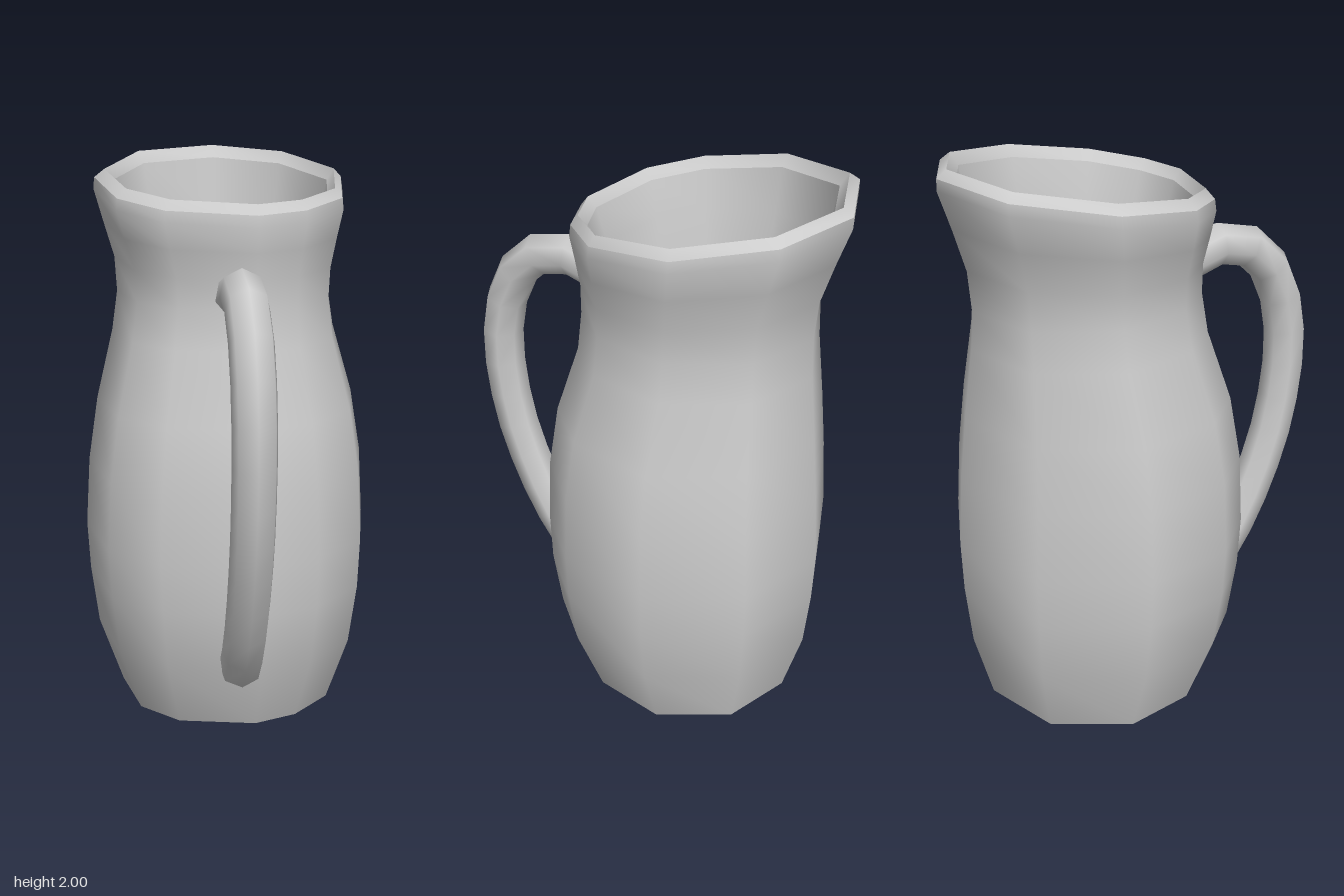
import * as THREE from 'three';
import { toCreasedNormals } from 'three/addons/utils/BufferGeometryUtils.js';

const material = new THREE.MeshStandardMaterial({ color: 0xcccccc, side: THREE.DoubleSide });

// Corner directions of the uneven ten-sided section, in degrees from +z towards +x
const CORNERS = [9, 37, 76, 117, 155, 198, 241, 279, 306, 346].map(THREE.MathUtils.degToRad);

// One ring of corners fitted to its extents; tilt makes the mouth rise towards the back
function ring([y, x0, x1, z0, z1, tilt = 0]) {
  const rx = (x1 - x0) / 1.958, rz = (z1 - z0) / 1.939;
  const cx = x1 - 0.97 * rx, cz = z1 - 0.988 * rz;
  return CORNERS.map((a) => {
    const dx = rx * Math.sin(a), dz = rz * Math.cos(a);
    return new THREE.Vector3(cx + dx, y + tilt * (0.05 * dx - 0.135 * dz), cz + dz);
  });
}

// Skin a stack of rings with quads
function skin(rings, crease) {
  const n = CORNERS.length, index = [];
  for (let i = 0; i < rings.length - 1; i++) {
    for (let j = 0; j < n; j++) {
      const a = i * n + j, b = i * n + (j + 1) % n;
      index.push(a, b, a + n, b, b + n, a + n);
    }
  }
  const geometry = new THREE.BufferGeometry().setFromPoints(rings.flat());
  geometry.setIndex(index);
  return toCreasedNormals(geometry, crease);
}

export function createModel() {
  const group = new THREE.Group();
  const add = (name, geometry) => {
    const mesh = new THREE.Mesh(geometry, material);
    mesh.name = name;
    group.add(mesh);
  };

  // Outer wall, open underneath: y, x min, x max, z min, z max, tilt
  const outer = [
    [0, -0.39, 0.41, -0.54, 0.24],
    [0.25, -0.48, 0.48, -0.61, 0.34],
    [0.47, -0.51, 0.51, -0.63, 0.37],
    [0.65, -0.52, 0.52, -0.635, 0.375],
    [0.9, -0.505, 0.505, -0.62, 0.365],
    [1.13, -0.465, 0.47, -0.6, 0.33],
    [1.38, -0.39, 0.41, -0.575, 0.25],
    [1.52, -0.365, 0.39, -0.57, 0.235],
    [1.64, -0.37, 0.4, -0.58, 0.235, 0.3],
    [1.76, -0.4, 0.43, -0.625, 0.25, 0.7],
    [1.87, -0.425, 0.46, -0.67, 0.265, 1],
    [1.91, -0.42, 0.455, -0.67, 0.26, 1],
  ];
  // Lip and tapering inner wall
  const lip = [
    outer[outer.length - 1],
    [1.94, -0.385, 0.425, -0.635, 0.235, 1],
    [1.9, -0.36, 0.4, -0.605, 0.205, 1],
  ];
  const inner = [
    lip[2],
    [1.75, -0.33, 0.37, -0.575, 0.17, 0.6],
    [1.3, -0.27, 0.32, -0.51, 0.1],
    [0.6, -0.2, 0.26, -0.445, 0.025],
  ];
  add('body', skin(outer.map(ring), 1));
  add('lip', skin(lip.map(ring), 0.8));
  add('innerWall', skin(inner.map(ring), 1));

  // Inner floor
  const floorShape = new THREE.Shape(ring(inner[3]).map((p) => new THREE.Vector2(p.x, -p.z)));
  add('innerFloor', new THREE.ShapeGeometry(floorShape).rotateX(-Math.PI / 2).translate(0, 0.6, 0));

  // Handle: z and y of its centre line, in an upright plane slanting to the right
  const path = [
    [0.19, 1.57], [0.28, 1.605], [0.385, 1.6], [0.49, 1.53], [0.565, 1.39], [0.598, 1.19],
    [0.57, 0.895], [0.5, 0.655], [0.41, 0.455], [0.33, 0.33], [0.26, 0.25],
  ].map(([z, y]) => new THREE.Vector3(-0.14 - (z - 0.2) * 0.39, y, z));
  add('handle', new THREE.TubeGeometry(new THREE.CatmullRomCurve3(path), 13, 0.076, 7));

  return group;
}
